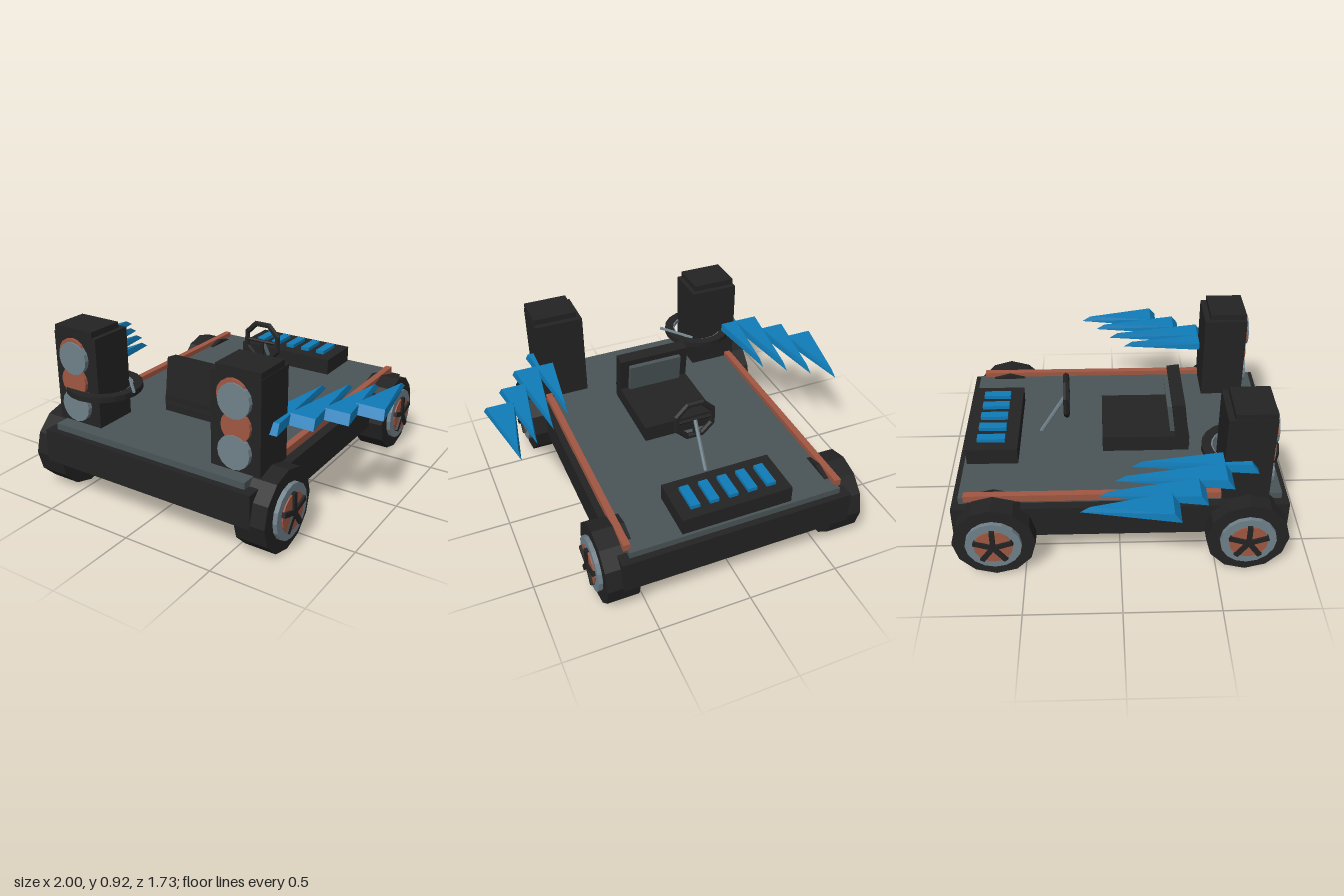
import * as THREE from 'three';
import { ConvexGeometry } from 'three/addons/geometries/ConvexGeometry.js';

const mat = (name, color) => {
  const m = new THREE.MeshStandardMaterial({ color, flatShading: true });
  m.name = name;
  return m;
};

export function createModel() {
  const black = mat('black', 0x232323);
  const slate = mat('slate', 0x4a5456);
  const grey = mat('steel grey', 0x70818a);
  const rust = mat('rust', 0xa05742);
  const blue = mat('blue', 0x107cb8);
  const model = new THREE.Group();
  model.name = 'buggy';

  const add = (name, geo, material, parent = model) => {
    const m = new THREE.Mesh(geo, material);
    m.name = name;
    parent.add(m);
    return m;
  };
  // Box given by its extents on each axis
  const box = (name, material, [x0, x1], [y0, y1], [z0, z1], parent = model) => {
    const m = add(name, new THREE.BoxGeometry(x1 - x0, y1 - y0, z1 - z0), material, parent);
    m.position.set((x0 + x1) / 2, (y0 + y1) / 2, (z0 + z1) / 2);
    return m;
  };
  // Thin rod between two points
  const rod = (name, material, a, b, r, parent = model) => {
    const p = new THREE.Vector3(...a), q = new THREE.Vector3(...b);
    const m = add(name, new THREE.CylinderGeometry(r, r, p.distanceTo(q), 6), material, parent);
    m.position.copy(p).add(q).multiplyScalar(0.5);
    m.quaternion.setFromUnitVectors(new THREE.Vector3(0, 1, 0), q.sub(p).normalize());
    return m;
  };
  const group = (name) => {
    const g = new THREE.Group();
    g.name = name;
    model.add(g);
    return g;
  };

  // Chassis and deck
  box('chassis', black, [-0.63, 0.63], [0.19, 0.37], [-0.865, 0.865]);
  box('deck', slate, [-0.58, 0.58], [0.37, 0.405], [-0.83, 0.83]);

  // Wheels, with the axle along local z
  for (const side of [1, -1]) for (const z of [0.65, -0.65]) {
    const wheel = group('wheel');
    wheel.position.set(side * 0.54, 0.215, z);
    wheel.rotation.y = side * Math.PI / 2;
    const disc = (name, material, r, z0, z1, n) => {
      const g = new THREE.CylinderGeometry(r, r, z1 - z0, n);
      g.rotateX(Math.PI / 2).translate(0, 0, (z0 + z1) / 2);
      return add(name, g, material, wheel);
    };
    disc('tyre', black, 0.215, 0, 0.17, 12);
    disc('rim', grey, 0.145, 0.16, 0.193, 16);
    disc('hub', rust, 0.1, 0.18, 0.2, 16);
    for (let i = 0; i < 5; i++) {
      const g = new THREE.BoxGeometry(0.026, 0.105, 0.02);
      g.translate(0, 0.0525, 0.202).rotateZ(i * Math.PI * 2 / 5);
      add('spoke', g, black, wheel);
    }
  }

  // Side rails
  for (const s of [1, -1]) {
    box('sideRail', rust, [s * 0.582 - 0.018, s * 0.582 + 0.018], [0.395, 0.433], [-0.8, 0.72]);
  }

  // Lamp towers
  const lamp = (name, material, x, y, r, z0, z1, parent) => {
    const g = new THREE.CylinderGeometry(r, r, z1 - z0, 16);
    g.rotateX(Math.PI / 2);
    add(name, g, material, parent).position.set(x, y, (z0 + z1) / 2);
  };
  for (const s of [1, -1]) {
    const tower = group('lampTower');
    const span = (a, b) => (s > 0 ? [a, b] : [-b, -a]);
    box('towerBody', black, span(0.345, 0.618), [0.405, 0.89], [0.513, 0.753], tower);
    box('towerCap', black, span(0.37, 0.615), [0.88, 0.922], [0.545, 0.75], tower);
    lamp('lampBacking', rust, s * 0.483 - 0.012, 0.787, 0.085, 0.74, 0.768, tower);
    lamp('middleLamp', rust, s * 0.492, 0.64, 0.08, 0.74, 0.772, tower);
    lamp('upperLamp', grey, s * 0.485, 0.768, 0.088, 0.74, 0.778, tower);
    lamp('lowerLamp', grey, s * 0.485, 0.51, 0.088, 0.74, 0.778, tower);
  }

  // Ring hung around the right tower, with its lever
  const ring = group('towerRing');
  const hoop = (name, material, r0, r1, h, y) => {
    const pts = [[r0, 0], [r1, 0], [r1, h], [r0, h], [r0, 0]].map(p => new THREE.Vector2(...p));
    add(name, new THREE.LatheGeometry(pts, 20), material, ring).position.set(-0.42, y, 0.62);
  };
  hoop('outerRing', black, 0.15, 0.2, 0.03, 0.568);
  hoop('innerRing', grey, 0.142, 0.152, 0.02, 0.574);
  rod('ringLever', grey, [-0.34, 0.595, 0.51], [-0.19, 0.615, 0.66], 0.009, ring);

  // Seat with a leaning backrest
  box('seatBase', black, [-0.205, 0.205], [0.4, 0.495], [-0.085, 0.385]);
  const back = group('seatBack');
  back.position.set(0, 0.568, 0.336);
  back.rotation.x = -0.13;
  box('backrest', black, [-0.205, 0.205], [-0.13, 0.13], [-0.035, 0.035], back);
  box('backCushion', slate, [-0.155, 0.155], [-0.08, 0.095], [-0.06, -0.03], back);

  // Steering wheel and column
  const steering = group('steeringWheel');
  steering.position.set(0, 0.637, -0.28);
  const rim = add('steeringRim', new THREE.TorusGeometry(0.11, 0.017, 6, 8), black, steering);
  rim.rotation.z = Math.PI / 8;
  for (const a of [0, Math.PI, -Math.PI / 2]) {
    rod('steeringSpoke', black, [0, 0, 0], [0.1 * Math.cos(a), 0.1 * Math.sin(a), 0], 0.01, steering);
  }
  rod('steeringColumn', grey, [0, 0.637, -0.285], [0, 0.4, -0.43], 0.011);

  // Engine box with vents
  box('engineBox', black, [-0.3, 0.3], [0.4, 0.497], [-0.815, -0.54]);
  for (let i = -2; i <= 2; i++) {
    box('vent', blue, [i * 0.104 - 0.025, i * 0.104 + 0.025], [0.49, 0.518], [-0.76, -0.61]);
  }

  // Swept wings: four overlapping spikes per side [x, tip z, base z, half width]
  const spikes = [
    [0.915, -0.2, 0.27, 0.085], [0.807, -0.11, 0.405, 0.077],
    [0.696, -0.03, 0.545, 0.077], [0.587, 0.055, 0.68, 0.072],
  ];
  for (const s of [1, -1]) {
    const wing = group('wing');
    spikes.forEach(([x, tip, base, w], i) => {
      const top = 0.644 + i * 0.001;
      const v = [
        [-w, 0.598, base], [w, 0.598, base], [0, 0.598, tip],
        [-w * 0.88, top, base - 0.035], [w * 0.88, top, base - 0.035], [0, 0.63, tip + 0.05],
      ].map(([dx, y, z]) => new THREE.Vector3(s * x + dx, y, z));
      add('wingSpike', new ConvexGeometry(v), blue, wing);
    });
  }

  return model;
}
